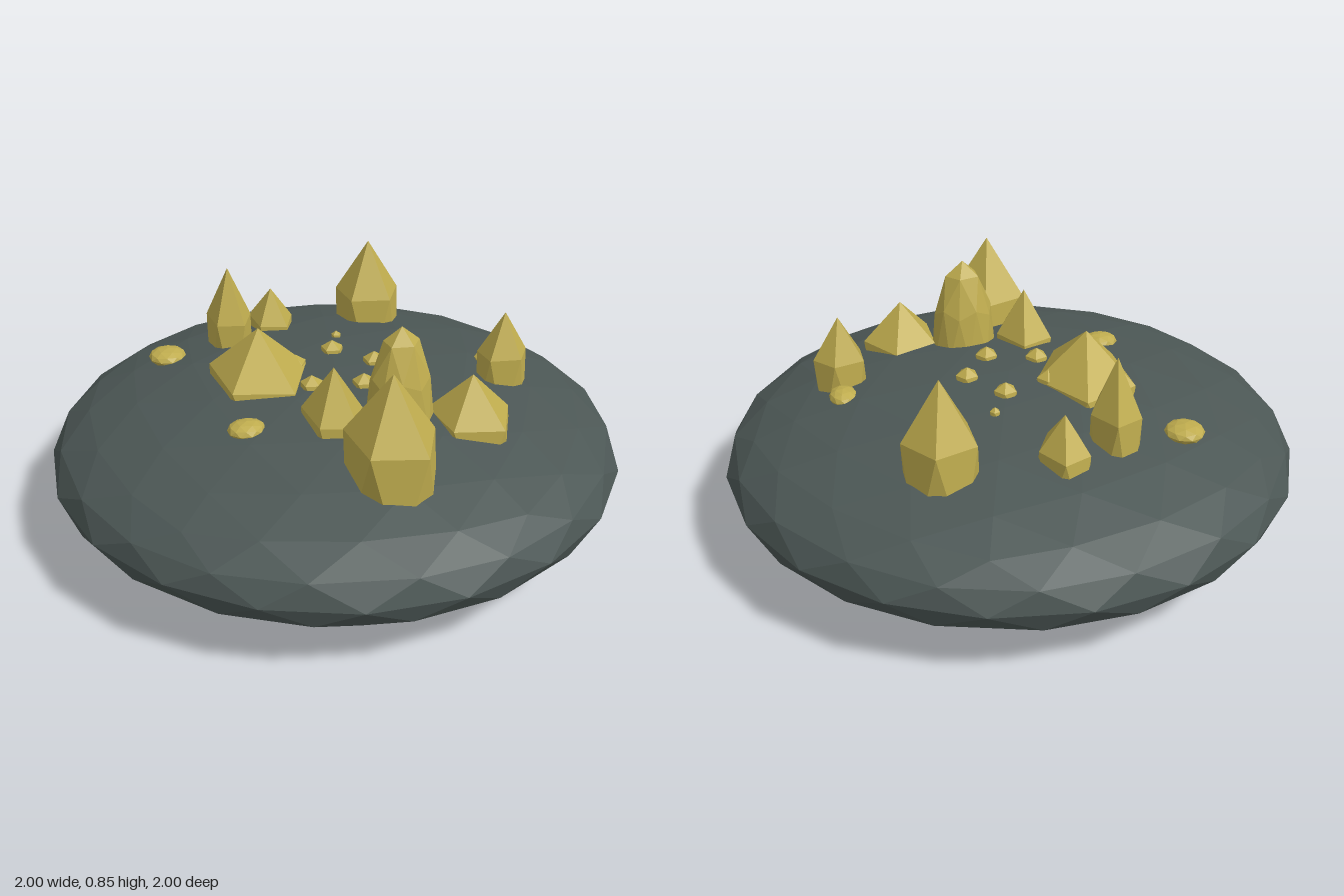
import * as THREE from 'three';

const stone = new THREE.MeshStandardMaterial({ color: 0x4c5755, flatShading: true });
stone.name = 'dark slate';
const gold = new THREE.MeshStandardMaterial({ color: 0xbfac4e, flatShading: true });
gold.name = 'gold';

// Faceted ellipsoid with a vertex pointing straight up.
function gem(name, material, detail, [x, y, z], [rx, ry, rz]) {
  const geometry = new THREE.IcosahedronGeometry(1, detail);
  geometry.rotateZ(-Math.atan(2 / (1 + Math.sqrt(5))));
  geometry.scale(rx, ry, rz);
  geometry.computeVertexNormals();
  const mesh = new THREE.Mesh(geometry, material);
  mesh.name = name;
  mesh.position.set(x, y, z);
  return mesh;
}

export function createModel() {
  const model = new THREE.Group();
  model.name = 'crystalRock';

  // Flattened boulder
  model.add(gem('baseRock', stone, 3, [0, 0.285, 0], [1, 0.282, 1]));

  // Pointed crystals: x, z, apex height, then radii in x, y and z
  const crystals = [
    [0.34, -0.475, 0.82, 0.14, 0.37, 0.144],
    [-0.045, -0.52, 0.67, 0.093, 0.22, 0.123],
    [-0.235, -0.45, 0.81, 0.093, 0.35, 0.12],
    [-0.25, -0.085, 0.73, 0.195, 0.3, 0.24],
    [-0.13, 0.295, 0.735, 0.114, 0.3, 0.154],
    [0.565, 0.18, 0.755, 0.105, 0.28, 0.09],
    [0.31, 0.42, 0.68, 0.157, 0.26, 0.177],
    [-0.06, 0.585, 0.835, 0.165, 0.388, 0.194],
  ];
  for (const [x, z, top, rx, ry, rz] of crystals) {
    model.add(gem('crystal', gold, 0, [x, top - ry, z], [rx, ry, rz]));
  }

  // Tall rounded crystal
  model.add(gem('roundedCrystal', gold, 1, [0.09, 0.495, 0.333], [0.12, 0.36, 0.1]));

  // Low nuggets
  for (const [x, y, z, rx, rz] of [
    [-0.48, 0.505, -0.445, 0.068, 0.068],
    [-0.405, 0.53, 0.22, 0.064, 0.056],
    [0.575, 0.508, 0.065, 0.05, 0.065],
  ]) model.add(gem('nugget', gold, 1, [x, y, z], [rx, 0.03, rz]));

  // Tiny crystal shards: x, z, radius
  for (const [x, z, r] of [
    [-0.115, -0.09, 0.045], [0.05, -0.145, 0.045], [0.115, -0.26, 0.02],
    [0.152, -0.005, 0.045], [0.05, 0.135, 0.045], [-0.12, 0.08, 0.045],
  ]) model.add(gem('shard', gold, 0, [x, 0.552, z], [r, r + 0.005, r]));

  return model;
}
